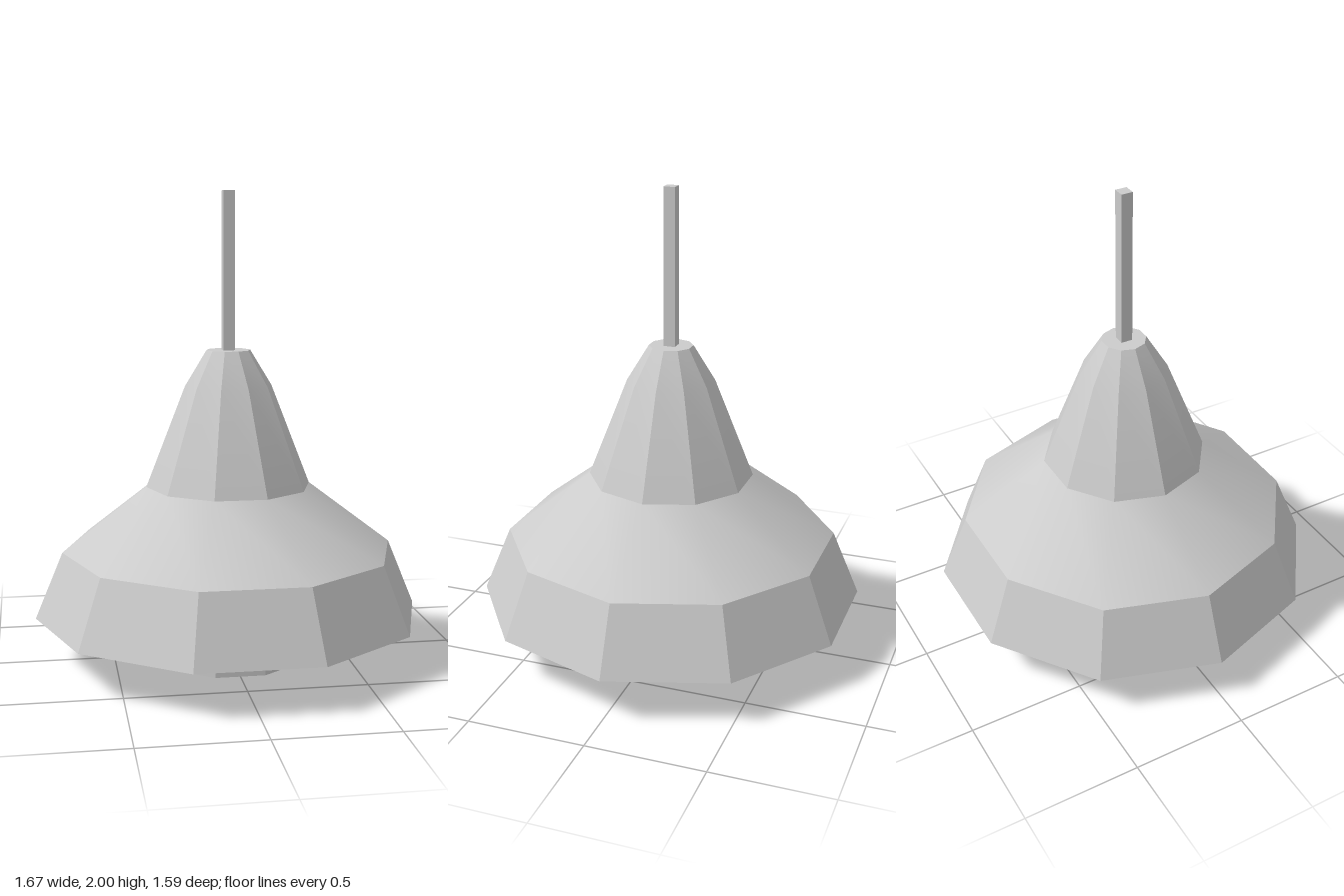
import * as THREE from 'three';
import { toCreasedNormals } from 'three/addons/utils/BufferGeometryUtils.js';

const SIDES = 10;

export function createModel() {
  const group = new THREE.Group();
  const smooth = new THREE.MeshStandardMaterial({ color: 0xcccccc });
  const flat = new THREE.MeshStandardMaterial({ color: 0xcccccc, flatShading: true });

  const add = (name, geometry, material, y = 0) => {
    const mesh = new THREE.Mesh(geometry, material);
    mesh.name = name;
    mesh.position.y = y;
    group.add(mesh);
  };

  // Bell-shaped shade, closed at top and bottom: [radius, height]
  const profile = [
    [0, 0.19], [0.835, 0.19], [0.717, 0.475], [0.355, 0.75],
    [0.187, 1.18], [0.094, 1.333], [0, 1.333],
  ].map(([r, y]) => new THREE.Vector2(r, y));
  const shade = new THREE.LatheGeometry(profile, SIDES, Math.PI / 2);
  add('shade', toCreasedNormals(shade, THREE.MathUtils.degToRad(29)), smooth);

  // Short lamp drum below the shade
  const drum = new THREE.CylinderGeometry(0.343, 0.343, 0.19, SIDES, 1, false, Math.PI / 2);
  add('lampDrum', drum, flat, 0.095);

  // Square hanging rod
  add('hangingRod', new THREE.BoxGeometry(0.05, 0.667, 0.05), flat, 1.6665);

  return group;
}
